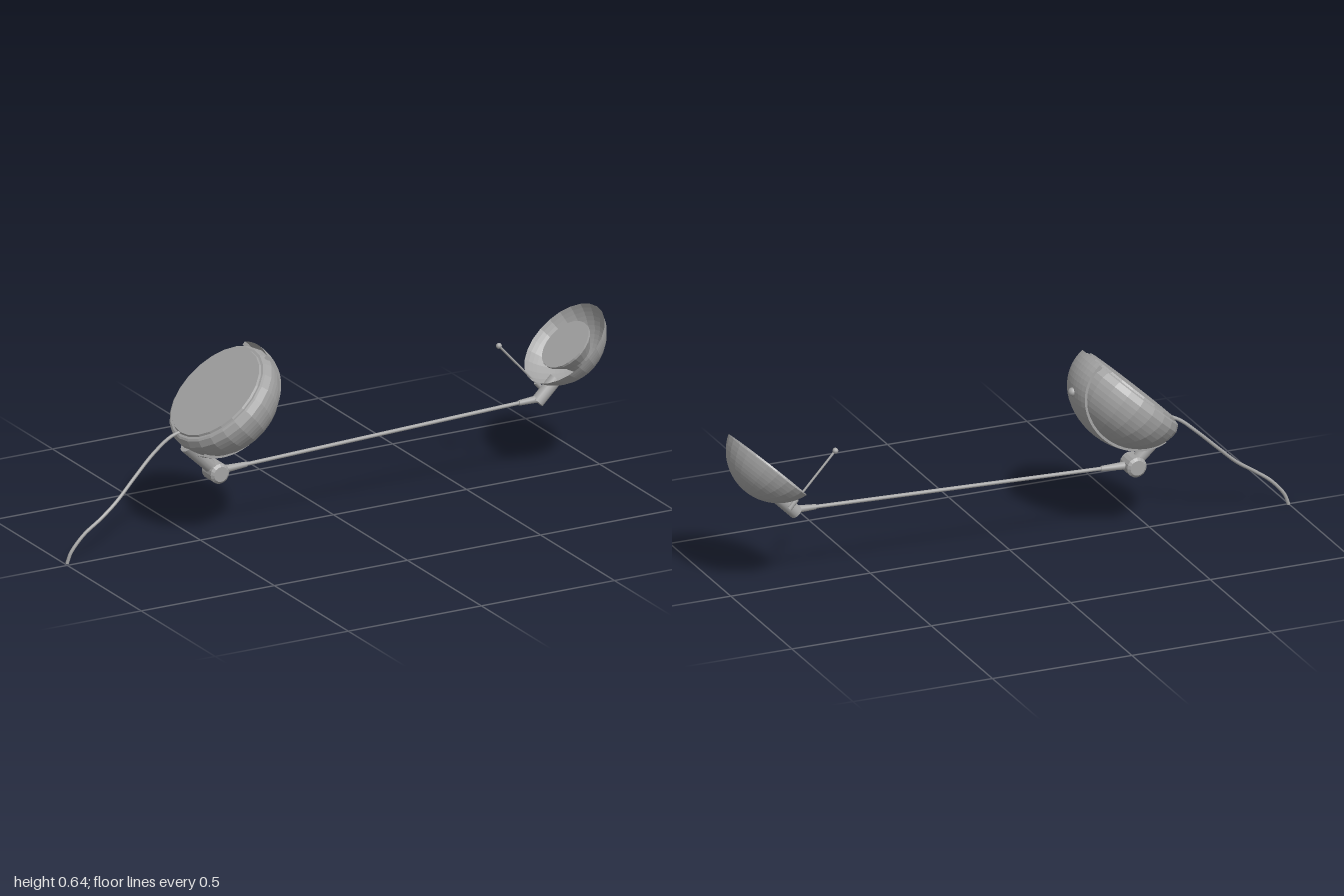
import * as THREE from 'three';

const V = (x, y, z = 0) => new THREE.Vector3(x, y, z);
const metal = new THREE.MeshStandardMaterial({ color: 0xa4a4a4 });
metal.name = 'greyMetal';
const metalThin = new THREE.MeshStandardMaterial({ color: 0xa4a4a4, side: THREE.DoubleSide });
metalThin.name = 'greyMetalThin';

const TILT = THREE.MathUtils.degToRad(42);

function add(parent, name, geometry, material = metal) {
  const mesh = new THREE.Mesh(geometry, material);
  mesh.name = name;
  parent.add(mesh);
  return mesh;
}

// Faceted surface of revolution; profile runs from bottom to top.
function lathe(profile, sides = 24) {
  const g = new THREE.LatheGeometry(profile.map(([r, y]) => new THREE.Vector2(r, y)), sides).toNonIndexed();
  g.computeVertexNormals();
  return g;
}

// Round bar between two points.
function bar(parent, name, a, b, ra, rb = ra, sides = 12) {
  const mesh = add(parent, name, new THREE.CylinderGeometry(rb, ra, a.distanceTo(b), sides));
  mesh.position.copy(a).add(b).multiplyScalar(0.5);
  mesh.quaternion.setFromUnitVectors(V(0, 1), b.clone().sub(a).normalize());
  return mesh;
}

function ball(parent, name, p, r) {
  add(parent, name, new THREE.SphereGeometry(r, 12, 8)).position.copy(p);
}

// Raised band wrapped over the base dome, with side walls turned inward.
function bandGeometry(a, b, half) {
  const columns = [[-half, 0.93]];
  for (let i = 0; i <= 8; i++) columns.push([-half + (2 * half * i) / 8, 1]);
  columns.push([half, 0.93]);
  const rows = 28, pos = [], idx = [], n = columns.length;
  for (let j = 0; j <= rows; j++) {
    const t = -0.16 + (3.0 * j) / rows;
    for (const [z, s] of columns) {
      const k = Math.sqrt(1 - (z / a) ** 2) * s;
      pos.push(a * k * Math.cos(t), -0.03 - b * k * Math.sin(t), z);
      if (j < rows && pos.length / 3 % n !== 0) {
        const p = pos.length / 3 - 1;
        idx.push(p, p + n, p + 1, p + 1, p + n, p + n + 1);
      }
    }
  }
  const g = new THREE.BufferGeometry();
  g.setAttribute('position', new THREE.Float32BufferAttribute(pos, 3));
  g.setIndex(idx);
  const flat = g.toNonIndexed();
  flat.computeVertexNormals();
  return flat;
}

function buildBase() {
  const base = new THREE.Group();
  base.name = 'base';
  base.position.set(-0.441, 0.51, 0);
  base.rotation.z = TILT;

  // Half-ellipsoid bowl closed by a flat plate
  const profile = [];
  for (let i = 0; i <= 14; i++) {
    const t = (i / 14) * Math.PI / 2;
    profile.push([0.205 * Math.sin(t), -0.03 - 0.166 * Math.cos(t)]);
  }
  profile.push([0.195, -0.008], [0.188, -0.004]);
  add(base, 'baseDome', lathe(profile));
  add(base, 'basePlate', lathe([[0.188, -0.004], [0.18, -0.004], [0.177, 0.003], [0, 0.003]]));
  add(base, 'baseBand', bandGeometry(0.212, 0.174, 0.073), metalThin);

  // Push button on the band
  const t = 0.62;
  ball(base, 'button', V(0.212 * Math.cos(t), -0.03 - 0.174 * Math.sin(t)), 0.015);
  return base;
}

function buildHead() {
  const head = new THREE.Group();
  head.name = 'head';
  head.position.set(0.868, 0.449, 0);
  head.rotation.z = TILT;

  // Shallow spherical shade, open on top
  const R = 0.163, h = 0.115, rad = (R * R + h * h) / (2 * h), end = Math.acos((rad - h) / rad);
  const profile = [];
  for (let i = 0; i <= 14; i++) {
    const t = (i / 14) * end;
    profile.push([rad * Math.sin(t), rad - h - rad * Math.cos(t)]);
  }
  add(head, 'shade', lathe(profile), metalThin);
  add(head, 'lampDisc', lathe([[0.045, -0.1], [0.06, -0.06], [0.095, -0.012], [0.095, -0.004], [0, -0.004]]));
  return head;
}

export function createModel() {
  const model = new THREE.Group();
  model.name = 'deskLamp';
  model.add(buildBase(), buildHead());

  // Lower joint: chamfered drum across z with a neck into the base
  const lower = V(-0.443, 0.235);
  const drum = add(model, 'lowerJoint', lathe(
    [[0, -0.038], [0.026, -0.038], [0.035, -0.03], [0.035, 0.03], [0.026, 0.038], [0, 0.038]], 16));
  drum.position.copy(lower);
  drum.rotation.x = Math.PI / 2;
  bar(model, 'baseNeck', lower, V(-0.55, 0.345), 0.02, 0.027);

  // Arm with a thicker socket at each end
  const upper = V(0.775, 0.274);
  const along = (t) => lower.clone().lerp(upper, t);
  bar(model, 'arm', along(0.02), along(0.99), 0.0065);
  bar(model, 'lowerSocket', along(0.02), along(0.095), 0.014, 0.009);
  bar(model, 'upperSocket', along(0.935), along(0.995), 0.009, 0.013);

  // Upper joint: stub running into the shade
  bar(model, 'headNeck', V(0.765, 0.263), V(0.835, 0.332), 0.023, 0.023, 16);

  // Aiming handle beside the neck
  bar(model, 'handle', V(0.8, 0.293, -0.028), V(0.64, 0.47, -0.03), 0.004, 0.004, 8);
  bar(model, 'handleFoot', V(0.802, 0.291, -0.028), V(0.775, 0.321, -0.028), 0.008, 0.008, 8);
  ball(model, 'handleKnob', V(0.638, 0.472, -0.03), 0.01);

  // Power cable
  const path = new THREE.CatmullRomCurve3([
    V(-0.996, 0.006, -0.009), V(-0.983, 0.042, -0.007), V(-0.935, 0.098, -0.005), V(-0.875, 0.142, -0.002),
    V(-0.81, 0.187, -0.012), V(-0.735, 0.255, -0.024), V(-0.66, 0.325, -0.03), V(-0.6, 0.375, -0.022),
    V(-0.555, 0.395, -0.01)]);
  add(model, 'cable', new THREE.TubeGeometry(path, 40, 0.006, 8), metalThin);

  return model;
}
